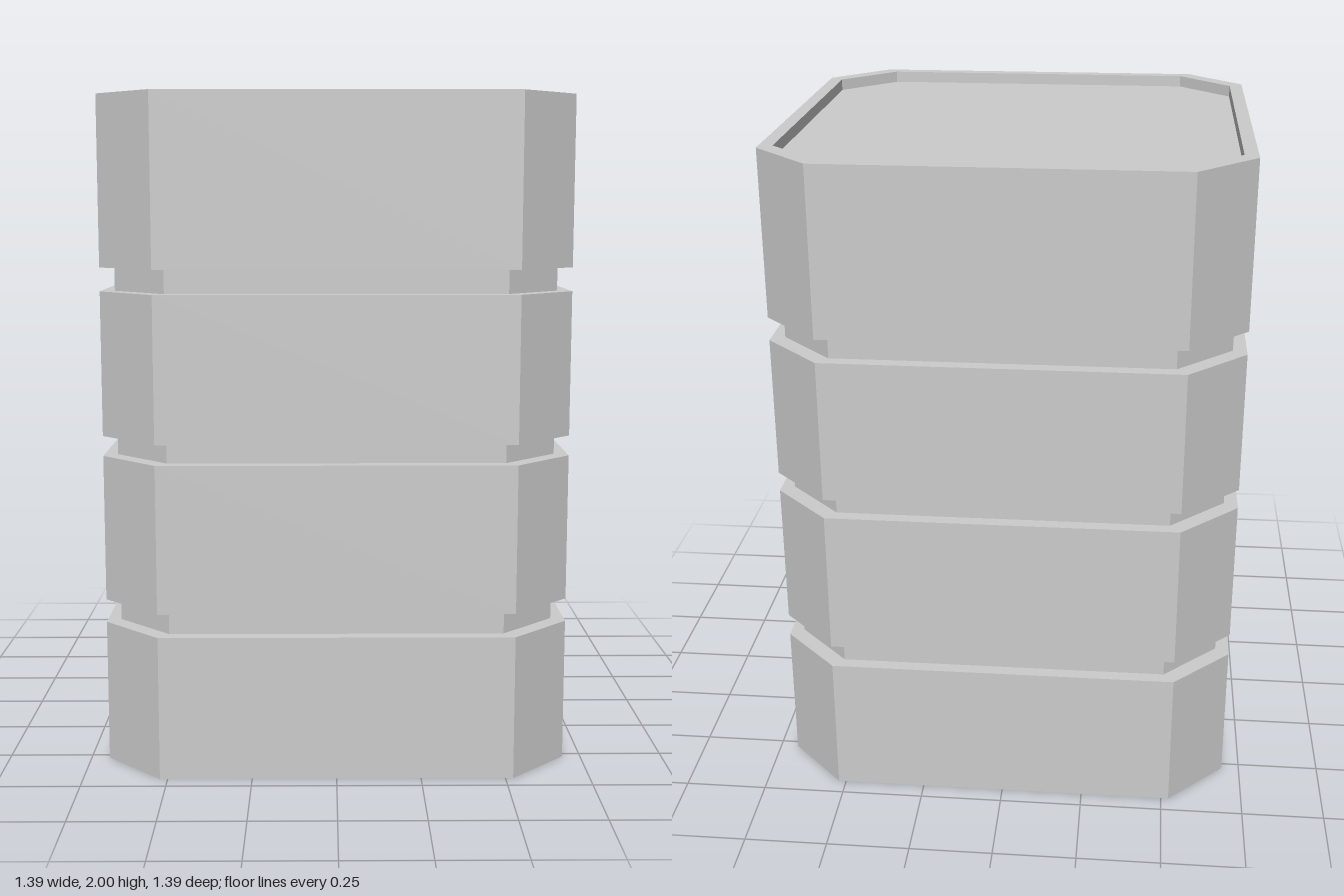
import * as THREE from 'three';

// Octagonal cross-section: half width and where the chamfers begin
const W = 0.695, C = 0.523;
const OUTLINE = [[W, -C], [W, C], [C, W], [-C, W], [-W, C], [-W, -C], [-C, -W], [C, -W]];
const INNER = 0.942; // scale of the grooves and the tray opening

// Sweeps the outline through a profile of [scale, y] steps, with flat faces
function loft(profile) {
  const positions = [];
  const corner = ([s, y], i) => {
    const [x, z] = OUTLINE[i % OUTLINE.length];
    return [x * s, y, z * s];
  };
  for (let p = 0; p < profile.length - 1; p++) {
    const low = profile[p], high = profile[p + 1];
    for (let i = 0; i < OUTLINE.length; i++) {
      const a = corner(low, i), b = corner(low, i + 1);
      const c = corner(high, i + 1), d = corner(high, i);
      if (high[0] > 0) positions.push(...a, ...d, ...c);
      if (low[0] > 0) positions.push(...a, ...c, ...b);
    }
  }
  const geometry = new THREE.BufferGeometry();
  geometry.setAttribute('position', new THREE.Float32BufferAttribute(positions, 3));
  geometry.computeVertexNormals();
  return geometry;
}

export function createModel() {
  const group = new THREE.Group();
  const material = new THREE.MeshStandardMaterial({ color: 0xcccccc, flatShading: true });
  const add = (name, profile) => {
    const mesh = new THREE.Mesh(loft(profile), material);
    mesh.name = name;
    group.add(mesh);
  };

  // Base block with a closed underside
  add('baseBlock', [[0, 0], [1, 0], [1, 0.43], [INNER, 0.43]]);

  // Two middle blocks
  [['lowerMiddleBlock', 0.5, 0.94], ['upperMiddleBlock', 1, 1.43]].forEach(([name, y0, y1]) =>
    add(name, [[INNER, y0], [1, y0], [1, y1], [INNER, y1]]));

  // Top block with a raised rim around a shallow tray
  add('topBlock', [[INNER, 1.5], [1, 1.5], [1, 2], [INNER, 2], [INNER, 1.965], [0, 1.965]]);

  // Recessed grooves between the blocks
  [['lowerGroove', 0.43, 0.5], ['middleGroove', 0.94, 1], ['upperGroove', 1.43, 1.5]].forEach(([name, y0, y1]) =>
    add(name, [[INNER, y0], [INNER, y1]]));

  return group;
}
